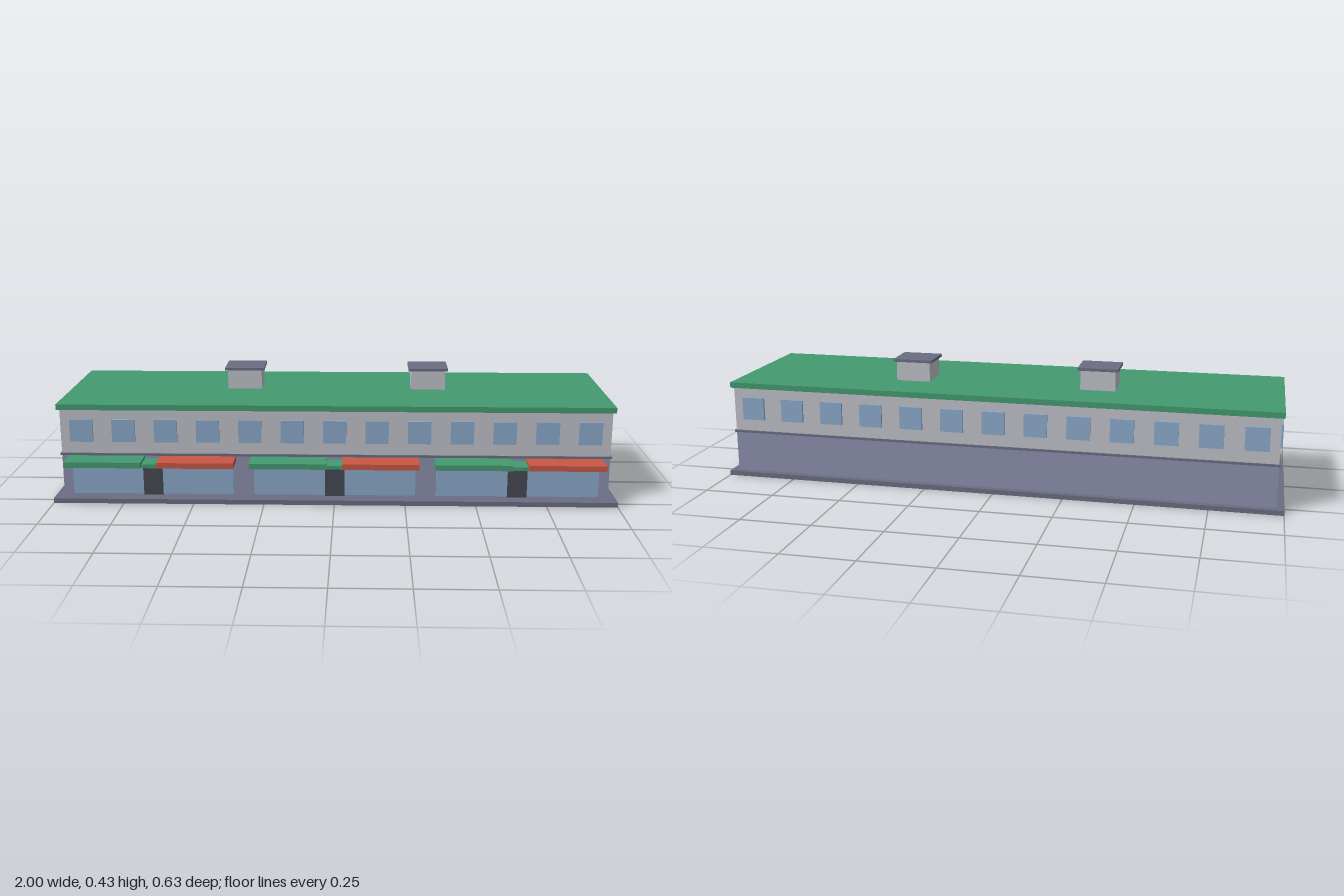
import * as THREE from 'three';

const mat = (name, color) => Object.assign(new THREE.MeshStandardMaterial({ color }), { name });

export function createModel() {
  const slate = mat('slate trim', 0x6a6d82);
  const lowerWall = mat('lower wall', 0x8b8fac);
  const upperWall = mat('upper wall', 0xc0c0c9);
  const green = mat('green', 0x449a70);
  const red = mat('red', 0xc85746);
  const glass = mat('glass', 0x8ba9cb);
  const dark = mat('dark door', 0x464853);

  const model = new THREE.Group();
  model.name = 'shopBuilding';

  // Box given by its extents on each axis
  function box(name, material, [x0, x1], [y0, y1], [z0, z1]) {
    const mesh = new THREE.Mesh(new THREE.BoxGeometry(x1 - x0, y1 - y0, z1 - z0), material);
    mesh.position.set((x0 + x1) / 2, (y0 + y1) / 2, (z0 + z1) / 2);
    mesh.name = name;
    model.add(mesh);
  }
  const around = (c, w) => [c - w / 2, c + w / 2];

  // Main body, stacked from the ground up
  const back = -0.293, front = 0.227, side = 0.975, midZ = -0.033;
  box('base', slate, [-1, 1], [0, 0.017], [-0.317, 0.285]);
  box('lowerFloor', lowerWall, [-side, side], [0.017, 0.162], [back, front]);
  box('floorBand', slate, [-0.98, 0.98], [0.162, 0.17], [-0.298, 0.232]);
  box('upperFloor', upperWall, [-side, side], [0.17, 0.33], [back, front]);
  box('roof', green, [-0.985, 0.985], [0.33, 0.35], [-0.303, 0.237]);

  // Upper windows on the front and back
  const winY = [0.213, 0.295];
  for (let i = -6; i <= 6; i++) {
    box('frontWindow', glass, around(i * 0.15, 0.082), winY, [front, front + 0.008]);
    box('backWindow', glass, around(i * 0.15, 0.082), winY, [back - 0.008, back]);
  }

  // Upper windows on both ends
  for (const s of [-1, 1]) {
    for (let i = -1; i <= 1; i++) {
      box('endWindow', glass, around(s * (side + 0.004), 0.008), winY,
        around(midZ + i * 0.173, 0.081));
    }
  }

  // Three shop units: door with canopy, a display window and awning on each side
  for (const x of [-0.65, 0, 0.65]) {
    box('shopDoor', dark, around(x, 0.07), [0.017, 0.138], [front, front + 0.008]);
    box('doorCanopy', green, around(x, 0.09), [0.138, 0.152], [front, 0.303]);
    for (const s of [-1, 1]) {
      box('displayWindow', glass, around(x + s * 0.1615, 0.253), [0.021, 0.142], [front, front + 0.0078]);
      box('awning', s < 0 ? green : red, around(x + s * 0.1625, 0.27), [0.142, 0.162], [0.228, 0.318]);
    }
  }

  // Roof vents with caps
  for (const x of [-0.34, 0.34]) {
    box('roofVent', upperWall, around(x, 0.125), [0.35, 0.42], [-0.132, -0.015]);
    box('roofVentCap', slate, around(x, 0.145), [0.42, 0.43], [-0.139, -0.009]);
  }

  return model;
}
